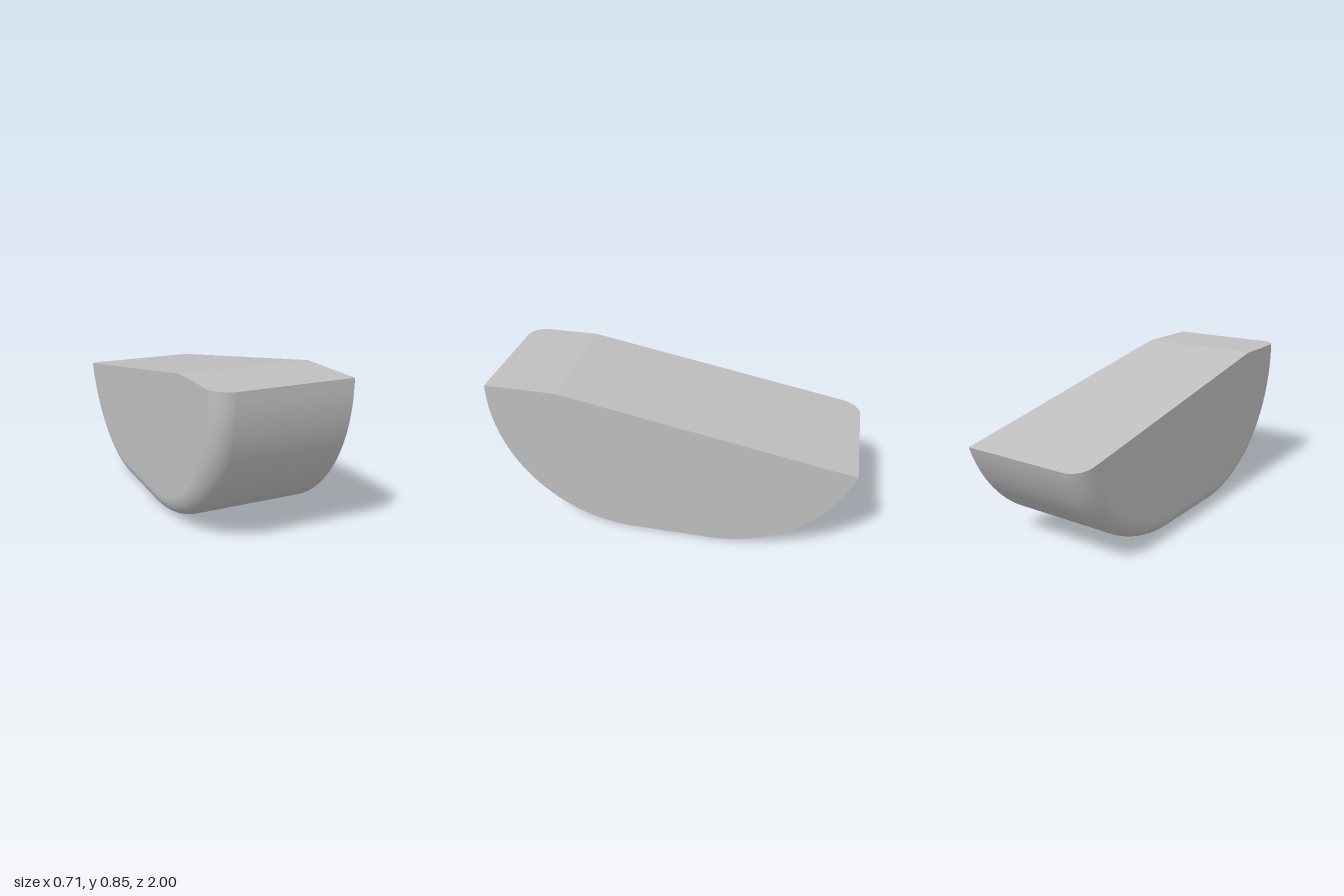
import * as THREE from 'three';

const TOP = 0.845, BREAK_Z = 0.6, BACK_Y = 0.557;
const SLOPE = (TOP - BACK_Y) / (BREAK_Z + 1);
const R = 0.8, FRONT_Z = 0.2, BACK_Z = -0.238;   // rounded belly: radius and arc centres
const LEFT = 0.356, FILLET = 0.1;
const ARC = 40, STEPS = 12;

// Belly outline inset by d, from the front top edge down and round to the back top edge
function outline(d) {
  const r = R - d, pts = [];
  const add = (z, y, nz, ny) => pts.push({ z, y, nz, ny });
  add(1 - d, TOP, 1, 0);
  for (let i = 0; i <= ARC; i++) {
    const a = (i / ARC) * Math.PI / 2;
    add(FRONT_Z + r * Math.cos(a), R - r * Math.sin(a), Math.cos(a), -Math.sin(a));
  }
  // back arc stops where it meets the sloping top
  const h = BACK_Y + SLOPE * (BACK_Z + 1) - R;
  const A = 1 + SLOPE * SLOPE, B = 2 * h * SLOPE, C = h * h - r * r;
  const s = (-B - Math.sqrt(B * B - 4 * A * C)) / (2 * A);
  const end = Math.atan2(-s, -(h + SLOPE * s));
  for (let i = 0; i <= ARC; i++) {
    const a = (i / ARC) * end;
    add(BACK_Z - r * Math.sin(a), R - r * Math.cos(a), -Math.sin(a), -Math.cos(a));
  }
  return pts;
}

// Cross-sections along x: quarter-round on the right side, then straight to the left
function sections() {
  const rows = [];
  for (let i = 0; i <= STEPS; i++) {
    const t = (i / STEPS) * Math.PI / 2;
    rows.push({ x: -LEFT + FILLET * (1 - Math.cos(t)), t, pts: outline(FILLET * (1 - Math.sin(t))) });
  }
  rows.push({ x: LEFT, t: Math.PI / 2, pts: outline(0) });
  return rows;
}

function bellyGeometry(rows) {
  const pos = [], nor = [], idx = [], n = rows[0].pts.length;
  rows.forEach(({ x, t, pts }, i) => pts.forEach((p, j) => {
    pos.push(x, p.y, p.z);
    nor.push(-Math.cos(t), p.ny * Math.sin(t), p.nz * Math.sin(t));
    if (i < rows.length - 1 && j < n - 1) {
      const a = i * n + j, b = a + 1, c = a + n, d = c + 1;
      idx.push(a, b, c, b, d, c);
    }
  }));
  const g = new THREE.BufferGeometry();
  g.setAttribute('position', new THREE.Float32BufferAttribute(pos, 3));
  g.setAttribute('normal', new THREE.Float32BufferAttribute(nor, 3));
  g.setIndex(idx);
  return g;
}

function flatGeometry(pos) {
  const g = new THREE.BufferGeometry();
  g.setAttribute('position', new THREE.Float32BufferAttribute(pos.flat(), 3));
  g.computeVertexNormals();
  return g;
}

// Flat side wall, fanned from the crease in the top
function wallGeometry({ x, pts }, facing) {
  const pos = [], at = (p) => [x, p.y, p.z];
  for (let j = 0; j < pts.length - 1; j++) {
    const a = at(pts[j]), b = at(pts[j + 1]);
    pos.push([x, TOP, BREAK_Z], ...(facing > 0 ? [a, b] : [b, a]));
  }
  return flatGeometry(pos);
}

// Top in two planes: a level front shelf and a long slope to the back
function topGeometry(rows) {
  const pos = [];
  const edge = ({ x, pts }) => {
    const f = pts[0], b = pts[pts.length - 1];
    return [[x, f.y, f.z], [x, TOP, BREAK_Z], [x, b.y, b.z]];
  };
  for (let i = 0; i < rows.length - 1; i++) {
    const p = edge(rows[i]), q = edge(rows[i + 1]);
    for (let k = 0; k < 2; k++) pos.push(p[k + 1], p[k], q[k + 1], p[k], q[k], q[k + 1]);
  }
  return flatGeometry(pos);
}

export function createModel() {
  const grey = new THREE.MeshStandardMaterial({ color: 0xbfbfbf });
  grey.name = 'light grey';
  const group = new THREE.Group();
  group.name = 'roundedBlock';
  const rows = sections();
  const add = (name, geometry) => {
    const mesh = new THREE.Mesh(geometry, grey);
    mesh.name = name;
    group.add(mesh);
  };
  add('curvedBelly', bellyGeometry(rows));
  add('rightWall', wallGeometry(rows[0], -1));
  add('leftWall', wallGeometry(rows[rows.length - 1], 1));
  add('slopedTop', topGeometry(rows));
  return group;
}
